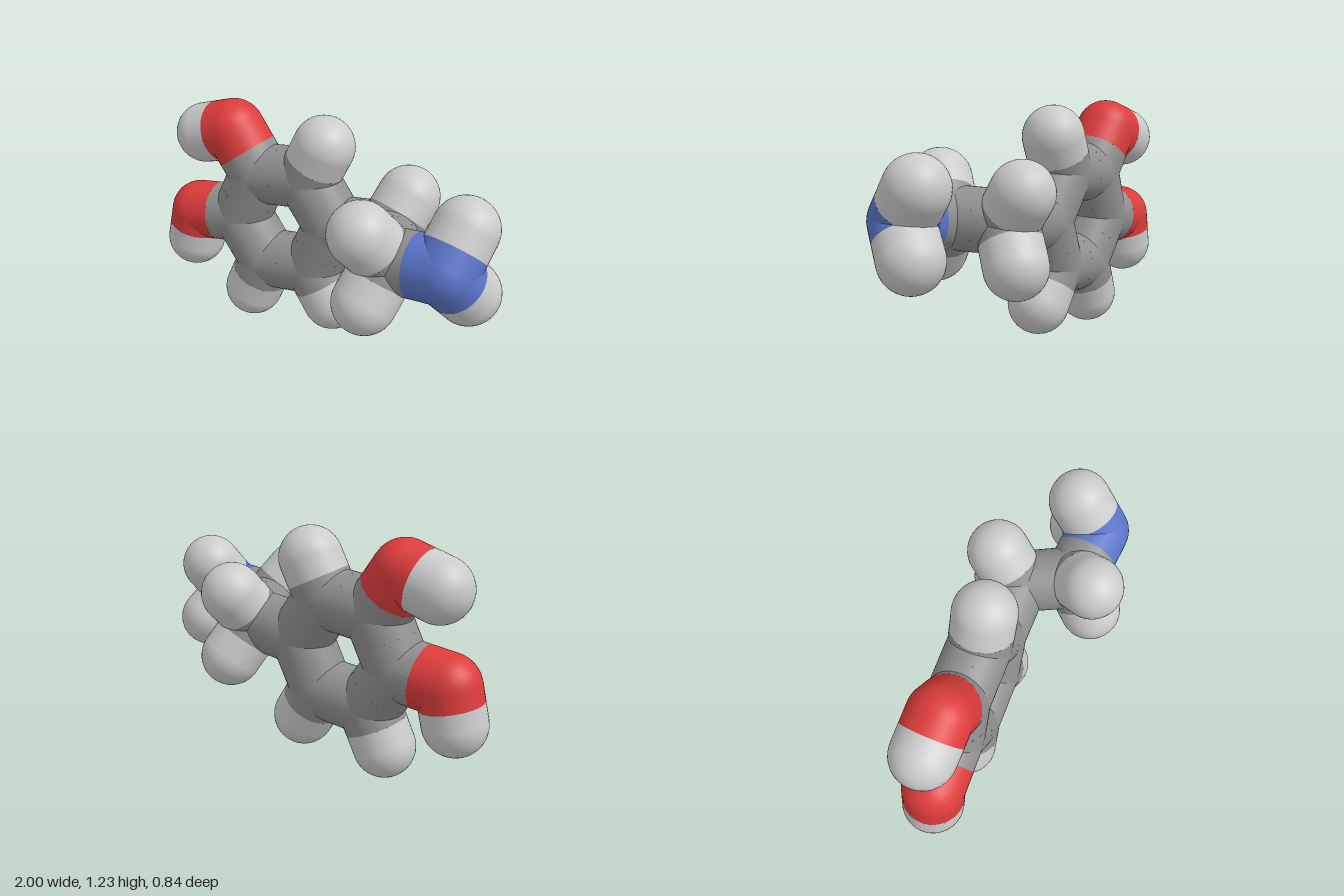
import * as THREE from 'three';

const R = 0.16; // every rod and joint shares one radius

const materials = {
  carbon: new THREE.MeshStandardMaterial({ color: 0x909090 }),
  hydrogen: new THREE.MeshStandardMaterial({ color: 0xcccccc }),
  oxygen: new THREE.MeshStandardMaterial({ color: 0xdd3c3c }),
  nitrogen: new THREE.MeshStandardMaterial({ color: 0x5a74c8 }),
};

export function createModel() {
  const model = new THREE.Group();
  model.name = 'stickMolecule';
  const sphere = new THREE.SphereGeometry(R * 0.999, 40, 24);
  const up = new THREE.Vector3(0, 1, 0);

  // Rounded joint at an atom centre
  function atom(element, name, x, y, z) {
    const mesh = new THREE.Mesh(sphere, materials[element]);
    mesh.name = name;
    mesh.position.set(x, y, z);
    model.add(mesh);
    return { element, name, p: mesh.position };
  }

  // Rod in two halves, each in the colour of its own atom
  function bond(a, b) {
    const mid = a.p.clone().lerp(b.p, 0.5);
    for (const end of [a, b]) {
      const dir = mid.clone().sub(end.p);
      const rod = new THREE.Mesh(
        new THREE.CylinderGeometry(R, R, dir.length(), 40, 1, true),
        materials[end.element]
      );
      rod.name = end.name + 'Rod';
      rod.position.copy(end.p).lerp(mid, 0.5);
      rod.quaternion.setFromUnitVectors(up, dir.normalize());
      model.add(rod);
    }
  }

  function attach(parent, element, name, x, y, z) {
    const child = atom(element, name, x, y, z);
    bond(parent, child);
    return child;
  }

  // Six-sided ring lying in a slightly turned plane
  const ring = [];
  for (let i = 0; i < 6; i++) {
    const t = THREE.MathUtils.degToRad(6 + i * 60);
    const x = -0.254 + 0.283 * Math.cos(t);
    const y = 0.626 + 0.285 * Math.sin(t);
    ring.push(atom('carbon', 'ringCarbon', x, y, -0.036 - 0.176 * x - 0.05 * y));
  }
  ring.forEach((c, i) => bond(c, ring[(i + 1) % 6]));

  // Ring hydrogens
  attach(ring[1], 'hydrogen', 'ringHydrogen', -0.05, 1.075, -0.08);
  attach(ring[4], 'hydrogen', 'ringHydrogen', -0.457, 0.16, 0.036);
  attach(ring[5], 'hydrogen', 'ringHydrogen', 0.03, 0.213, -0.052);

  // Two hydroxyl arms
  const upperOxygen = attach(ring[2], 'oxygen', 'upperOxygen', -0.575, 1.075, 0.013);
  attach(upperOxygen, 'hydrogen', 'upperHydroxylHydrogen', -0.757, 1.02, 0.04);
  const lowerOxygen = attach(ring[3], 'oxygen', 'lowerOxygen', -0.8, 0.562, 0.08);
  attach(lowerOxygen, 'hydrogen', 'lowerHydroxylHydrogen', -0.84, 0.38, 0.09);

  // Side chain, zigzagging in z
  const inner = attach(ring[0], 'carbon', 'innerChainCarbon', 0.32, 0.69, -0.12);
  attach(inner, 'hydrogen', 'innerChainHydrogen', 0.352, 0.85, -0.258);
  attach(inner, 'hydrogen', 'innerChainHydrogen', 0.385, 0.5, -0.248);
  const outer = attach(inner, 'carbon', 'outerChainCarbon', 0.49, 0.71, 0.122);
  attach(outer, 'hydrogen', 'outerChainHydrogen', 0.417, 0.873, 0.252);
  attach(outer, 'hydrogen', 'outerChainHydrogen', 0.452, 0.522, 0.258);

  // Amine end
  const nitrogen = attach(outer, 'nitrogen', 'nitrogen', 0.78, 0.733, 0.098);
  attach(nitrogen, 'hydrogen', 'amineHydrogen', 0.798, 0.899, -0.042);
  attach(nitrogen, 'hydrogen', 'amineHydrogen', 0.838, 0.577, -0.04);

  return model;
}
